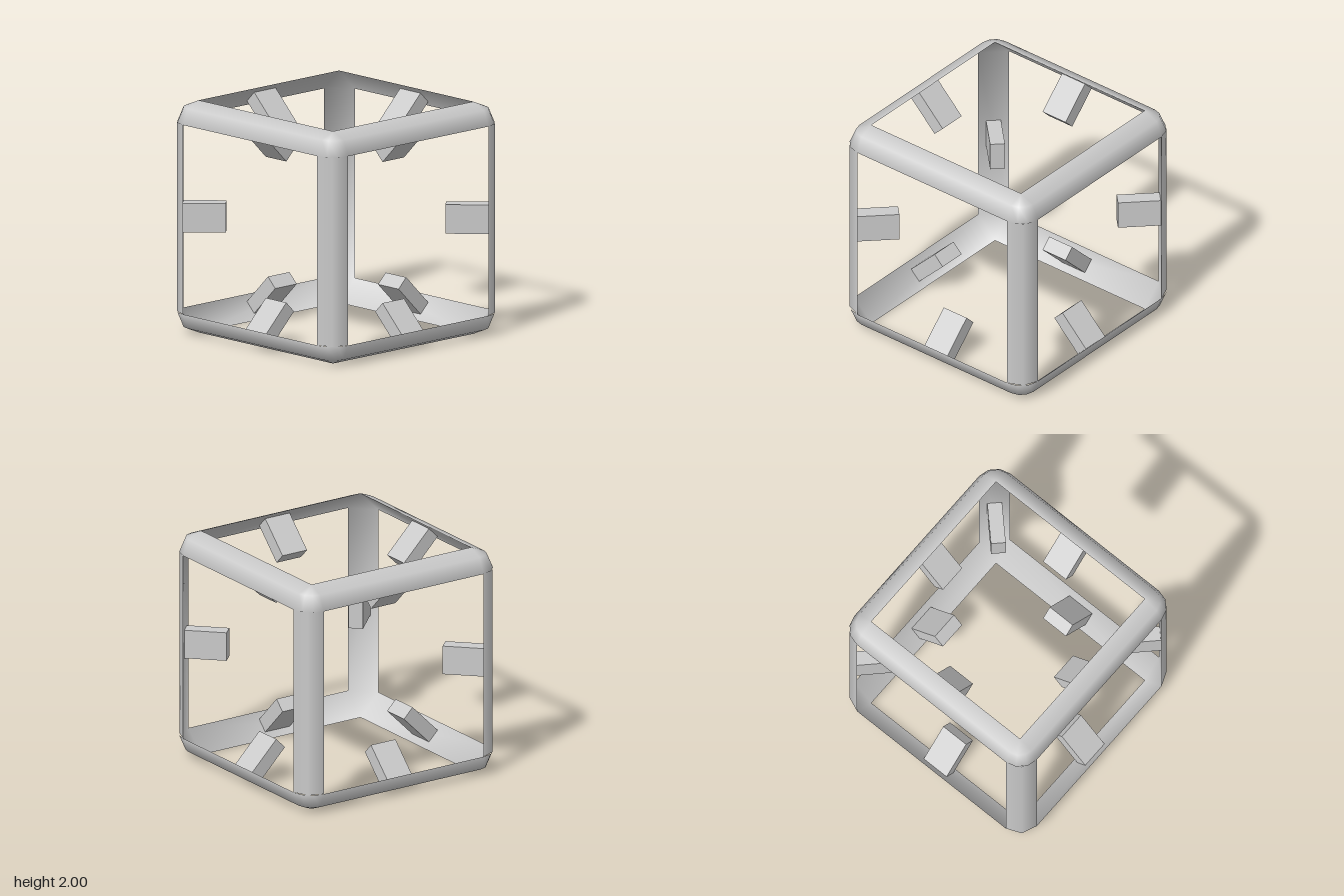
import * as THREE from 'three';

const R = 0.185;          // radius of the rounded edges
const W = 1 - R;          // half width of each window opening

const material = new THREE.MeshStandardMaterial({ color: 0xcccccc });

function addMesh(parent, name, geometry) {
  const mesh = new THREE.Mesh(geometry, material);
  mesh.name = name;
  parent.add(mesh);
  return mesh;
}

// Inside faces of the frame: a sloped strip per edge and a triangle per corner
function createLining() {
  const positions = [], index = [];
  // corner bits 0-2 hold the signs of x, y, z; axis picks the cube face touched
  const id = (corner, axis) => corner * 3 + axis;
  for (let c = 0; c < 8; c++) {
    for (let axis = 0; axis < 3; axis++) {
      for (let k = 0; k < 3; k++) positions.push(((c >> k) & 1 ? 1 : -1) * (k === axis ? 1 : W));
    }
  }
  const point = (i) => new THREE.Vector3().fromArray(positions, i * 3);
  const addTriangle = (a, b, c) => {
    const pa = point(a), pb = point(b), pc = point(c);
    const normal = pb.clone().sub(pa).cross(pc.clone().sub(pa));
    // turn every face towards the middle of the cube
    if (normal.dot(pa) > 0) index.push(a, c, b);
    else index.push(a, b, c);
  };
  for (let c = 0; c < 8; c++) {
    addTriangle(id(c, 0), id(c, 1), id(c, 2));
    for (let k = 0; k < 3; k++) {
      if ((c >> k) & 1) continue;
      const d = c | (1 << k), u = (k + 1) % 3, v = (k + 2) % 3;
      addTriangle(id(c, u), id(c, v), id(d, v));
      addTriangle(id(c, u), id(d, v), id(d, u));
    }
  }
  const geometry = new THREE.BufferGeometry();
  geometry.setAttribute('position', new THREE.Float32BufferAttribute(positions, 3));
  geometry.setIndex(index);
  geometry.computeVertexNormals();
  return geometry;
}

export function createModel() {
  const model = new THREE.Group();
  model.name = 'cubeFrame';
  const cube = new THREE.Group();
  cube.name = 'frame';
  cube.position.y = 1;
  model.add(cube);

  // Quarter-round bar along the edge at +x, +z
  const barGeometry = new THREE.CylinderGeometry(R, R, 2 * W, 2, 1, true, 0, Math.PI / 2);
  barGeometry.translate(W, 0, W);

  // Block pointing from the same edge towards the centre
  const tabInner = 0.922, tabOuter = 1.29;
  const tabGeometry = new THREE.BoxGeometry(0.125, 0.25, tabOuter - tabInner);
  tabGeometry.translate(0, 0, (tabInner + tabOuter) / 2);
  tabGeometry.rotateY(Math.PI / 4);

  // Rounded corner at +x, +y, +z
  const cornerGeometry = new THREE.SphereGeometry(R, 2, 2, Math.PI / 2, Math.PI / 2, 0, Math.PI / 2);
  cornerGeometry.translate(W, W, W);

  // Twelve edges: four around each axis
  const tilts = [[0, 0], [Math.PI / 2, 0], [0, Math.PI / 2]];
  for (const [rx, rz] of tilts) {
    const axisGroup = new THREE.Group();
    axisGroup.name = 'parallelEdges';
    axisGroup.rotation.set(rx, 0, rz);
    cube.add(axisGroup);
    for (let k = 0; k < 4; k++) {
      const turn = k * Math.PI / 2;
      addMesh(axisGroup, 'edgeBar', barGeometry).rotation.y = turn;
      addMesh(axisGroup, 'edgeTab', tabGeometry).rotation.y = turn;
    }
  }

  // Eight corners: four on top, four turned over below
  for (const flip of [0, Math.PI]) {
    const cornerGroup = new THREE.Group();
    cornerGroup.name = flip ? 'bottomCorners' : 'topCorners';
    cornerGroup.rotation.x = flip;
    cube.add(cornerGroup);
    for (let k = 0; k < 4; k++) {
      addMesh(cornerGroup, 'corner', cornerGeometry).rotation.y = k * Math.PI / 2;
    }
  }

  addMesh(cube, 'innerLining', createLining());
  return model;
}
